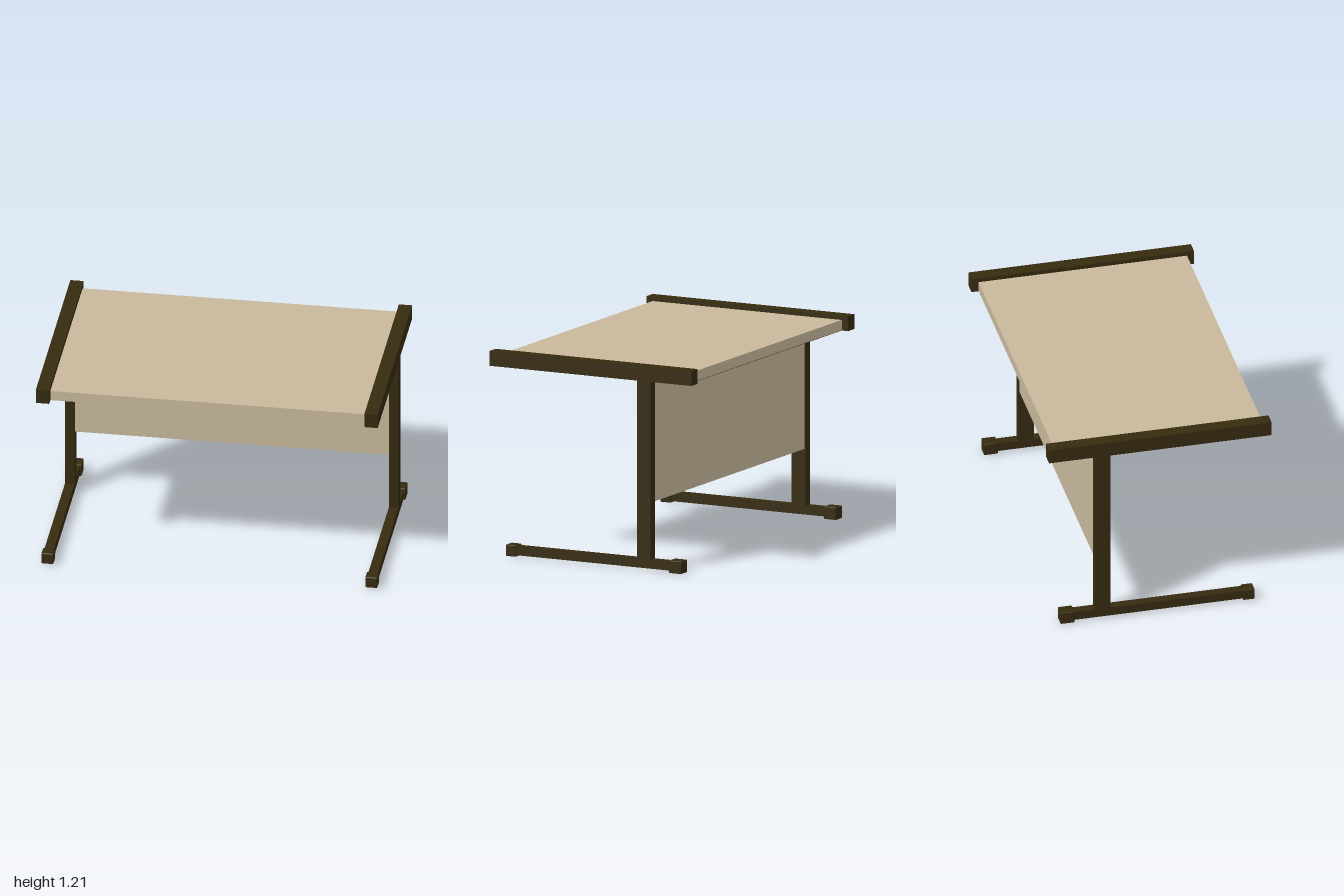
import * as THREE from 'three';
import { RoundedBoxGeometry } from 'three/addons/geometries/RoundedBoxGeometry.js';

export function createModel() {
  const desk = new THREE.Group();
  desk.name = 'desk';

  const laminate = new THREE.MeshStandardMaterial({ color: 0xc8b99c });
  laminate.name = 'beige laminate';
  const frame = new THREE.MeshStandardMaterial({ color: 0x362b10 });
  frame.name = 'dark brown frame';

  // Box given by its [min, max] range on each axis; bevel softens its edges
  function box(parent, name, material, [x0, x1], [y0, y1], [z0, z1], bevel = 0) {
    const size = [x1 - x0, y1 - y0, z1 - z0];
    const geometry = bevel
      ? new RoundedBoxGeometry(...size, 1, bevel)
      : new THREE.BoxGeometry(...size);
    const mesh = new THREE.Mesh(geometry, material);
    mesh.name = name;
    mesh.position.set((x0 + x1) / 2, (y0 + y1) / 2, (z0 + z1) / 2);
    parent.add(mesh);
  }

  // Table top, the panel between the legs and the dark plate under the rear overhang
  box(desk, 'tableTop', laminate, [-0.925, 0.925], [1.12, 1.18], [-0.62, 0.62]);
  box(desk, 'modestyPanel', laminate, [-0.92, 0.92], [0.4, 1.12], [-0.378, -0.315]);
  box(desk, 'rearUndersidePlate', frame, [-0.92, 0.92], [1.117, 1.1205], [-0.618, -0.377]);

  // Mirrored end frames
  for (const side of [1, -1]) {
    const end = new THREE.Group();
    end.name = side > 0 ? 'leftEndFrame' : 'rightEndFrame';
    const span = (a, b) => (side > 0 ? [a, b] : [-b, -a]);

    box(end, 'topRail', frame, span(0.922, 1), [1.118, 1.205], [-0.662, 0.662]);
    box(end, 'leg', frame, span(0.92, 0.975), [0.06, 1.12], [-0.382, -0.292]);
    box(end, 'footRail', frame, span(0.92, 0.975), [0.013, 0.065], [-0.52, 0.51]);
    box(end, 'frontFootCap', frame, span(0.912, 0.983), [0.004, 0.072], [0.497, 0.566], 0.006);
    box(end, 'rearFootCap', frame, span(0.91, 0.985), [0, 0.075], [-0.59, -0.506], 0.006);
    desk.add(end);
  }

  return desk;
}
